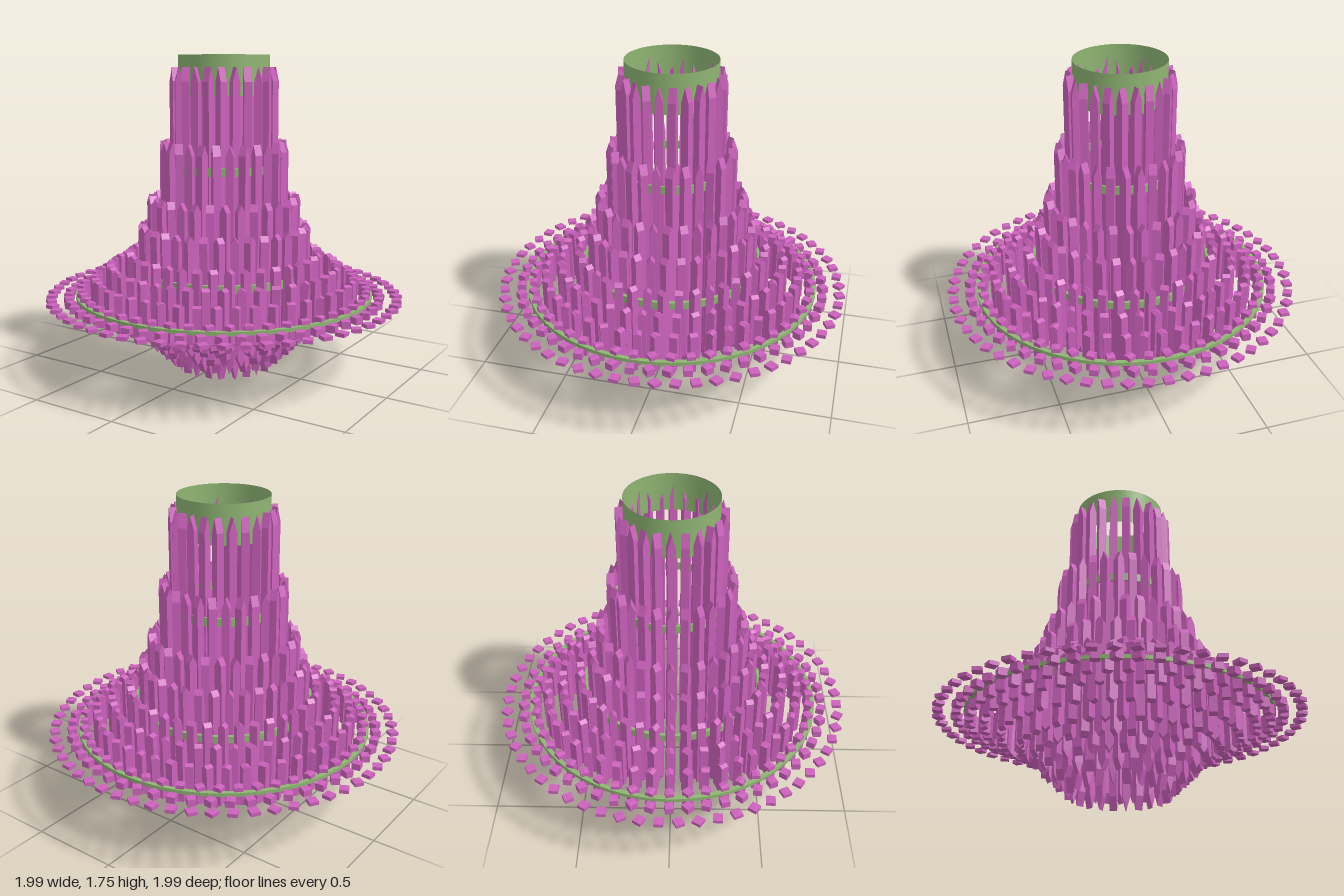
import * as THREE from 'three';
import { mergeGeometries } from 'three/addons/utils/BufferGeometryUtils.js';

const crystalMat = new THREE.MeshStandardMaterial({ color: 0xcc62bc, flatShading: true });
const metalMat = new THREE.MeshStandardMaterial({ color: 0x8fb573, side: THREE.DoubleSide });

// Tiers from the inside out: [radius, bottom, top, count, crystal width]
const tiers = [
  [0.27, 0.005, 1.69, 24, 0.042],
  [0.33, 0.06, 1.29, 28, 0.042],
  [0.4, 0.125, 0.99, 32, 0.042],
  [0.455, 0.19, 0.83, 36, 0.042],
  [0.53, 0.24, 0.68, 40, 0.042],
  [0.635, 0.295, 0.61, 44, 0.042],
  [0.725, 0.35, 0.545, 48, 0.042],
  [0.8, 0.375, 0.475, 52, 0.044],
  [0.87, 0.405, 0.445, 56, 0.046],
  [0.965, 0.415, 0.436, 60, 0.05],
];

// Unit crystal: a square bar with a chisel ridge at both ends
function makeCrystal() {
  const profile = new THREE.Shape([
    [-0.5, -0.455], [0, -0.5], [0.5, -0.455], [0.5, 0.455], [0, 0.5], [-0.5, 0.455],
  ].map(([x, y]) => new THREE.Vector2(x, y)));
  return new THREE.ExtrudeGeometry(profile, { depth: 1, bevelEnabled: false }).translate(0, 0, -0.5);
}

// One ring of hanging crystals, each turned a little further than its neighbour
function crystalTier([radius, bottom, top, count, width], index) {
  const unit = makeCrystal();
  const parts = [];
  const shift = index === tiers.length - 1 ? 0.5 : 0;
  for (let i = 0; i < count; i++) {
    const a = ((i + shift) / count) * Math.PI * 2;
    const g = unit.clone();
    g.scale(width, top - bottom, width);
    g.rotateY(a * 5 + 0.2);
    g.translate(Math.sin(a) * radius, (top + bottom) / 2, Math.cos(a) * radius);
    parts.push(g);
  }
  const mesh = new THREE.Mesh(mergeGeometries(parts), crystalMat);
  mesh.name = `crystalTier${index + 1}`;
  return mesh;
}

// Flat-sided metal hoop with a rectangular section
function hoop(name, inner, outer, bottom, top) {
  const shape = new THREE.Shape().absarc(0, 0, outer, 0, Math.PI * 2);
  shape.holes.push(new THREE.Path().absarc(0, 0, inner, 0, Math.PI * 2, true));
  const geo = new THREE.ExtrudeGeometry(shape, { depth: top - bottom, bevelEnabled: false, curveSegments: 64 });
  geo.rotateX(-Math.PI / 2).translate(0, bottom, 0);
  const mesh = new THREE.Mesh(geo, metalMat);
  mesh.name = name;
  return mesh;
}

export function createModel() {
  const model = new THREE.Group();
  model.name = 'chandelier';

  const crystals = new THREE.Group();
  crystals.name = 'crystals';
  tiers.forEach((tier, i) => crystals.add(crystalTier(tier, i)));
  model.add(crystals);

  // Open collar at the top
  const collar = new THREE.Mesh(new THREE.CylinderGeometry(0.25, 0.25, 0.215, 64, 1, true), metalMat);
  collar.name = 'topCollar';
  collar.position.y = 1.6475;
  model.add(collar);

  // Supporting hoops between the tiers
  model.add(
    hoop('upperHoop', 0.3, 0.312, 1.125, 1.17),
    hoop('middleHoop', 0.49, 0.51, 0.55, 0.59),
    hoop('lowerHoop', 0.808, 0.832, 0.43, 0.45),
  );
  return model;
}
